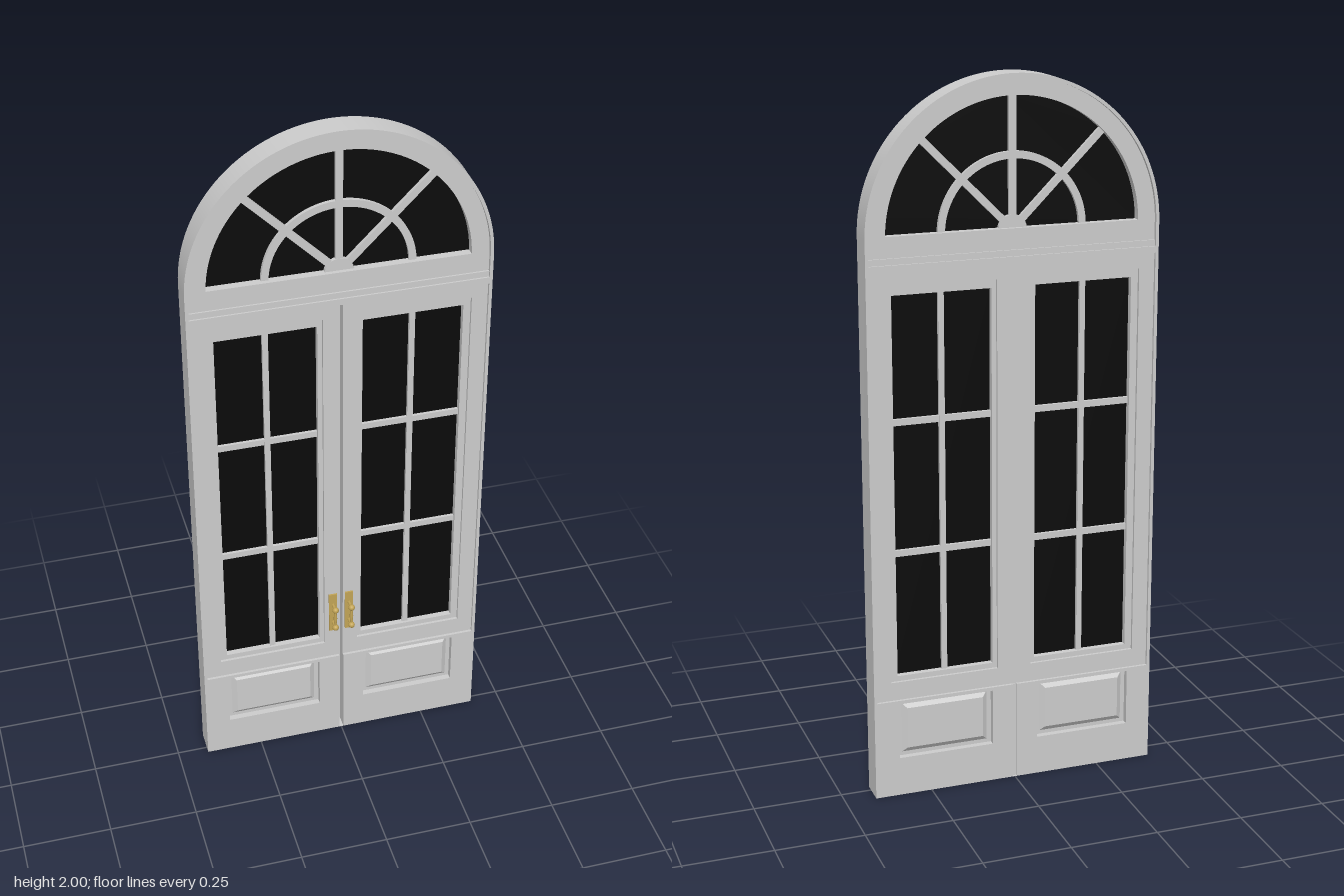
import * as THREE from 'three';
import { toCreasedNormals } from 'three/addons/utils/BufferGeometryUtils.js';

const paint = new THREE.MeshStandardMaterial({ color: 0xcccccc });
paint.name = 'grey paint';
const glass = new THREE.MeshStandardMaterial({ color: 0x0b0b0b });
glass.name = 'dark glass';
const brass = new THREE.MeshStandardMaterial({ color: 0xc2a456 });
brass.name = 'brass';

const ARCH_Y = 1.587, RADIUS = 0.413;
const BACK = -0.055, FRONT = 0.02, MID = (BACK + FRONT) / 2;

function add(parent, name, geometry, material) {
  const mesh = new THREE.Mesh(geometry, material);
  mesh.name = name;
  parent.add(mesh);
  return mesh;
}

// Rectangle outline, given two opposite corners in any order
function rect(xa, xb, y0, y1, Type = THREE.Shape) {
  const x0 = Math.min(xa, xb), x1 = Math.max(xa, xb), s = new Type();
  s.moveTo(x0, y0);
  s.lineTo(x1, y0);
  s.lineTo(x1, y1);
  s.lineTo(x0, y1);
  s.closePath();
  return s;
}

// Round-headed outline with straight sides down to y0
function arch(r, y0, Type = THREE.Shape) {
  const s = new Type();
  s.moveTo(-r, y0);
  s.lineTo(r, y0);
  s.lineTo(r, ARCH_Y);
  s.absarc(0, ARCH_Y, r, 0, Math.PI, false);
  s.closePath();
  return s;
}

// Slab of a shape between two depths, with optional holes
function slab(shape, z0, z1, ...holes) {
  shape.holes.push(...holes);
  const g = new THREE.ExtrudeGeometry(shape, { depth: z1 - z0, bevelEnabled: false, curveSegments: 32 });
  g.translate(0, 0, z0);
  return toCreasedNormals(g, 0.5);
}

function box(x0, x1, y0, y1, z0, z1) {
  const g = new THREE.BoxGeometry(Math.abs(x1 - x0), y1 - y0, z1 - z0);
  return g.translate((x0 + x1) / 2, (y0 + y1) / 2, (z0 + z1) / 2);
}

function fanlight() {
  const group = new THREE.Group();
  group.name = 'fanlight';
  const base = 1.592;
  add(group, 'fanlightFrame', slab(arch(0.404, 1.525), BACK + 0.01, FRONT - 0.01, arch(0.355, base, THREE.Path)), paint);
  add(group, 'fanlightGlass', slab(arch(0.358, base - 0.005), MID - 0.004, MID + 0.004), glass);
  // Spokes
  for (const angle of [45, 90, 135]) {
    const g = new THREE.BoxGeometry(0.35, 0.02, 0.03);
    g.translate(0.18, 0, 0).rotateZ(THREE.MathUtils.degToRad(angle)).translate(0, ARCH_Y, MID);
    add(group, 'spoke', g, paint);
  }
  // Inner half ring and hub
  const ring = new THREE.Shape();
  ring.absarc(0, ARCH_Y, 0.208, 0, Math.PI, false);
  ring.absarc(0, ARCH_Y, 0.188, Math.PI, 0, true);
  add(group, 'halfRing', slab(ring, MID - 0.015, MID + 0.015), paint);
  const hub = new THREE.Shape();
  hub.absarc(0, ARCH_Y, 0.04, 0, Math.PI, false);
  add(group, 'hub', slab(hub, MID - 0.016, MID + 0.016), paint);
  return group;
}

function handle(side) {
  const group = new THREE.Group();
  group.name = 'handle';
  const x = side * 0.024, face = FRONT - 0.008;
  add(group, 'handlePlate', box(x - 0.012, x + 0.012, 0.388, 0.522, face, face + 0.005), brass);
  for (const y of [0.42, 0.485]) {
    const stem = new THREE.CylinderGeometry(0.0045, 0.0045, 0.03, 12);
    add(group, 'handleStem', stem.rotateX(Math.PI / 2).translate(x, y, 0.027), brass);
    add(group, 'handleKnob', new THREE.SphereGeometry(0.0095, 16, 12).translate(x, y, 0.043), brass);
  }
  // Turned grip, thicker in the middle
  const profile = [[0.003, -0.033], [0.0035, -0.02], [0.0055, 0], [0.0035, 0.02], [0.003, 0.033]];
  const grip = new THREE.LatheGeometry(profile.map(p => new THREE.Vector2(...p)), 12);
  add(group, 'handleGrip', grip.translate(x, 0.4525, 0.041), brass);
  return group;
}

function leaf(side) {
  const group = new THREE.Group();
  group.name = side > 0 ? 'leftLeaf' : 'rightLeaf';
  const X = v => side * v;
  const hole = (...a) => rect(...a, THREE.Path);

  // Glazed upper part with a stepped moulding
  add(group, 'upperFrame', slab(rect(X(0.006), X(0.406), 0.285, 1.505), BACK + 0.008, FRONT - 0.008,
    hole(X(0.049), X(0.36), 0.34, 1.458)), paint);
  add(group, 'windowMoulding', slab(rect(X(0.049), X(0.36), 0.34, 1.458), BACK + 0.016, FRONT - 0.016,
    hole(X(0.062), X(0.34), 0.355, 1.434)), paint);
  add(group, 'windowGlass', box(X(0.058), X(0.345), 0.35, 1.44, MID - 0.004, MID + 0.004), glass);
  add(group, 'verticalBar', box(X(0.193), X(0.209), 0.35, 1.44, MID - 0.014, MID + 0.014), paint);
  for (const y of [0.712, 1.084]) {
    add(group, 'crossBar', box(X(0.058), X(0.345), y - 0.009, y + 0.009, MID - 0.013, MID + 0.013), paint);
  }

  // Lower part with a raised and fielded panel on both faces
  add(group, 'lowerFrame', slab(rect(X(0.006), X(0.412), 0, 0.287), BACK, FRONT,
    hole(X(0.067), X(0.342), 0.113, 0.277)), paint);
  add(group, 'panelBase', box(X(0.065), X(0.345), 0.11, 0.28, MID - 0.02, MID + 0.02), paint);
  const field = new THREE.ExtrudeGeometry(rect(X(0.094), X(0.316), 0.138, 0.258), {
    depth: 0.04, bevelThickness: 0.01, bevelSize: 0.014, bevelSegments: 1,
  });
  add(group, 'panelField', field.translate(0, 0, MID - 0.02), paint);

  group.add(handle(side));
  return group;
}

export function createModel() {
  const model = new THREE.Group();
  model.name = 'archedDoubleDoor';

  // Thin outer rim around the whole door
  add(model, 'outerRim', slab(arch(RADIUS, 0), BACK, FRONT, arch(0.404, 0.001, THREE.Path)), paint);

  // Transom rail with a projecting lower step
  add(model, 'transomRail', box(-0.412, 0.412, 1.5, 1.518, BACK, FRONT), paint);
  add(model, 'transomStep', box(-0.408, 0.408, 1.516, 1.535, BACK + 0.005, FRONT - 0.005), paint);

  // Strip behind the meeting gap
  add(model, 'meetingStrip', box(-0.02, 0.02, 0.287, 1.505, BACK + 0.008, MID), paint);
  add(model, 'lowerMeetingStrip', box(-0.02, 0.02, 0, 0.287, BACK + 0.006, MID), paint);

  model.add(fanlight(), leaf(1), leaf(-1));
  return model;
}
